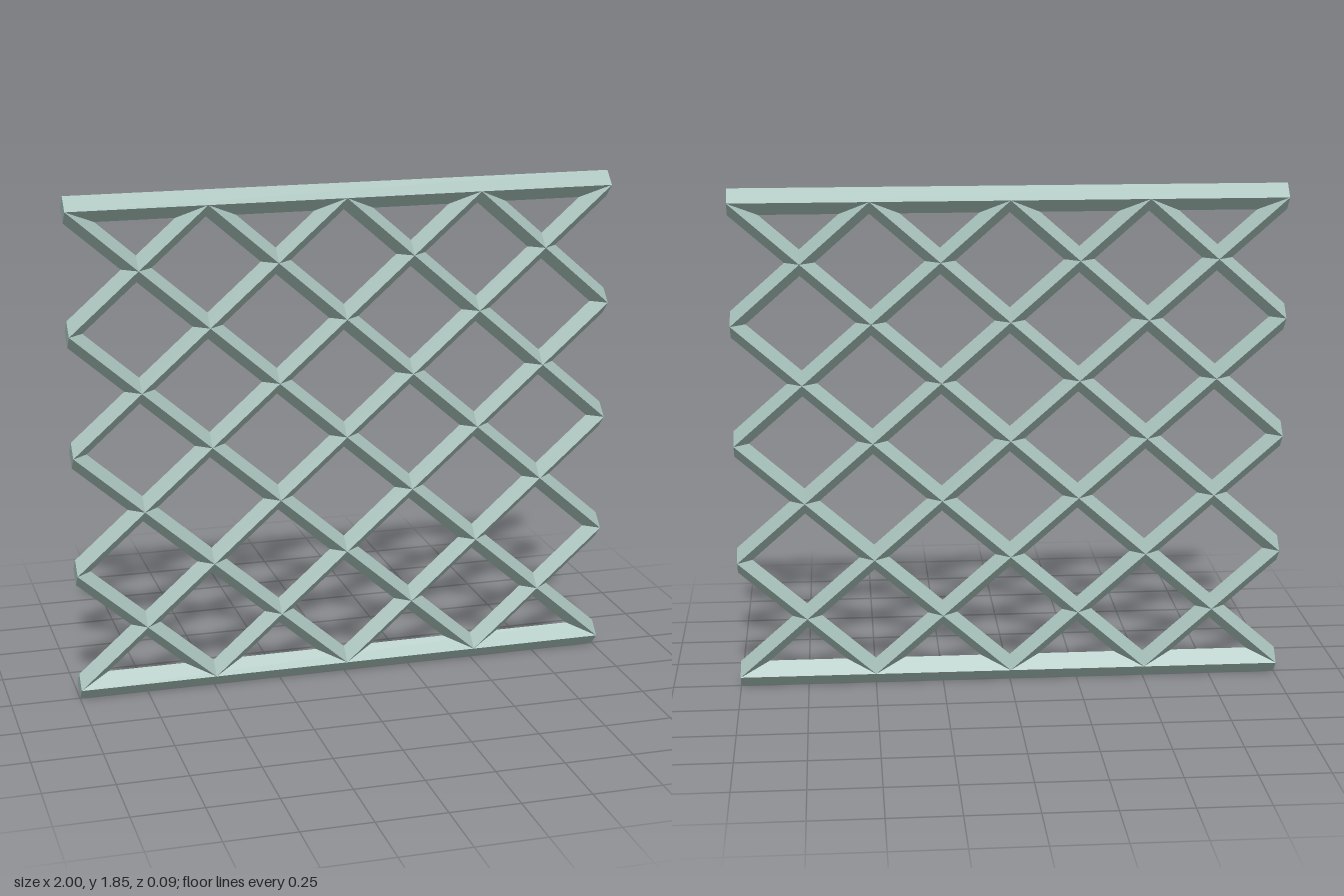
import * as THREE from 'three';

const R = 0.0475;          // half diagonal of the square bar section
const HALF = 1;            // half width of the panel
const BOTTOM = R;          // centre line of the bottom rail
const TOP = 1.85 - R;      // centre line of the top rail
const PITCH = 0.5;         // spacing of the lattice along the rails
const SLOPE = (TOP - BOTTOM) / (2 * HALF);

const paint = new THREE.MeshStandardMaterial({ color: 0xa3bcb6 });
paint.name = 'pale grey green';

// Diamond-section bar from (x0, y0) to (x1, y1), its ends cut upright
function bar(name, x0, y0, x1, y1) {
  const section = new THREE.Shape([
    new THREE.Vector2(R, 0),
    new THREE.Vector2(0, R),
    new THREE.Vector2(-R, 0),
    new THREE.Vector2(0, -R),
  ]);
  const length = x1 - x0;
  const geo = new THREE.ExtrudeGeometry(section, { depth: length, bevelEnabled: false });
  geo.rotateY(Math.PI / 2);
  // shear along the slope so that the ends stay vertical
  const pos = geo.attributes.position;
  for (let i = 0; i < pos.count; i++) {
    const t = pos.getX(i) / length;
    pos.setXY(i, x0 + t * length, pos.getY(i) + y0 + t * (y1 - y0));
  }
  geo.computeVertexNormals();
  const mesh = new THREE.Mesh(geo, paint);
  mesh.name = name;
  return mesh;
}

export function createModel() {
  const panel = new THREE.Group();
  panel.name = 'latticePanel';

  // Rails
  panel.add(bar('bottomRail', -HALF, BOTTOM, HALF, BOTTOM));
  panel.add(bar('topRail', -HALF, TOP, HALF, TOP));

  // Crossing diagonals, each rising one mirrored by a falling one
  const lattice = new THREE.Group();
  lattice.name = 'lattice';
  for (let k = -3; k <= 3; k++) {
    const foot = -HALF + k * PITCH;
    const xa = Math.max(-HALF, foot);
    const xb = Math.min(HALF, foot + 2 * HALF);
    const ya = BOTTOM + SLOPE * (xa - foot);
    const yb = BOTTOM + SLOPE * (xb - foot);
    lattice.add(bar('risingBar', xa, ya, xb, yb));
    lattice.add(bar('fallingBar', -xb, yb, -xa, ya));
  }
  panel.add(lattice);
  return panel;
}
